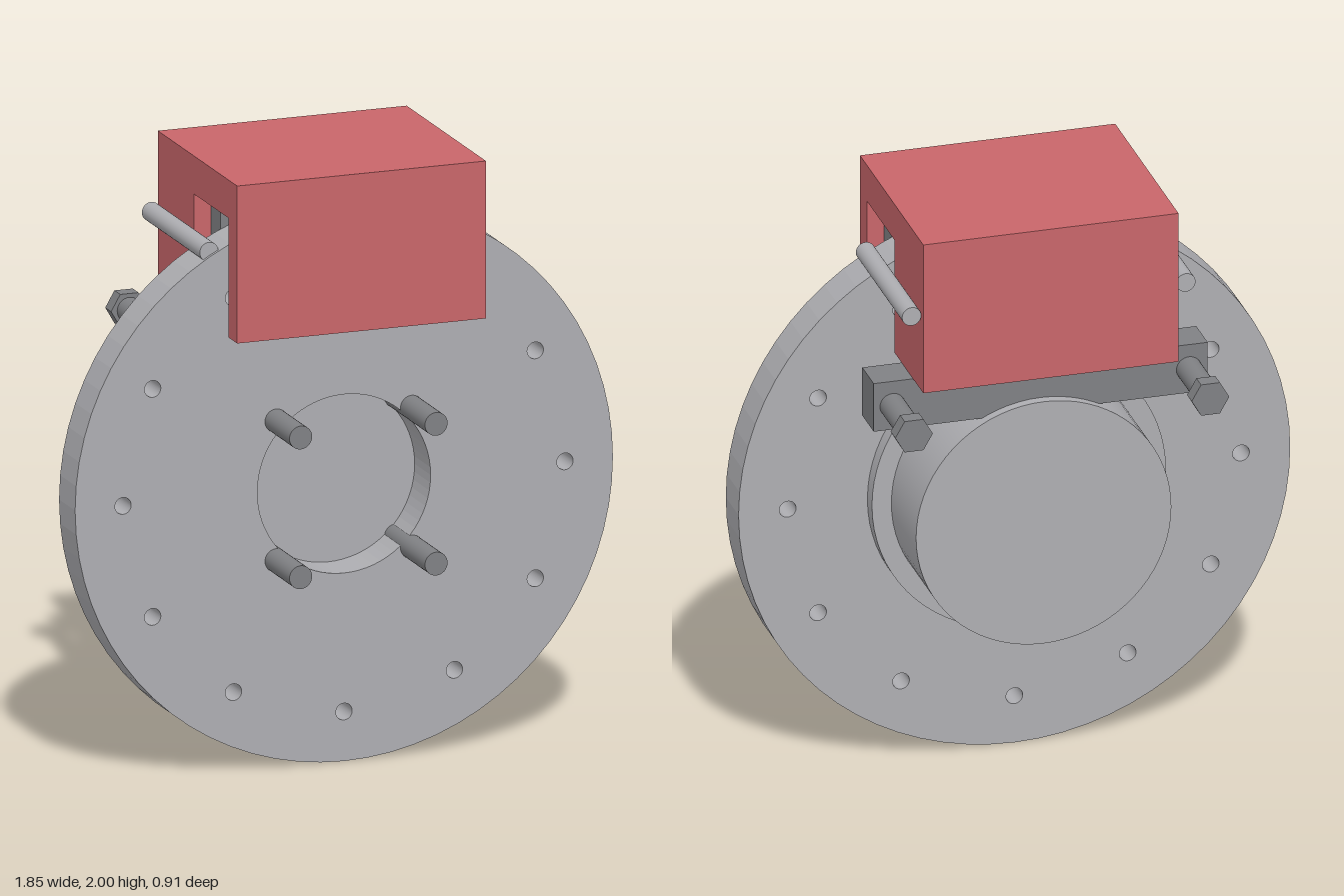
import * as THREE from 'three';

export function createModel() {
  const model = new THREE.Group();
  model.name = 'discBrake';

  const mat = (name, color) => {
    const m = new THREE.MeshStandardMaterial({ color });
    m.name = name;
    return m;
  };
  const steel = mat('steel', 0xaeaeb2);
  const darkSteel = mat('darkSteel', 0x808184);
  const red = mat('caliperRed', 0xc8666a);

  const add = (name, geometry, material, x = 0, y = 0, z = 0) => {
    const mesh = new THREE.Mesh(geometry, material);
    mesh.name = name;
    mesh.position.set(x, y, z);
    model.add(mesh);
    return mesh;
  };
  // Cylinder along z between two depths
  const rod = (name, r, z0, z1, material, x, y, sides = 32) => {
    const g = new THREE.CylinderGeometry(r, r, z1 - z0, sides).rotateX(Math.PI / 2);
    return add(name, g, material, x, y, (z0 + z1) / 2);
  };
  // Box given by its y and z ranges, centred on x
  const block = (name, halfX, y0, y1, z0, z1, material) =>
    add(name, new THREE.BoxGeometry(halfX * 2, y1 - y0, z1 - z0), material, 0, (y0 + y1) / 2, (z0 + z1) / 2);

  const cy = 0.925; // axle height
  const discBack = 0.088, discFront = 0.233;

  // Disc with central bore and a ring of twelve drilled holes
  const disc = new THREE.Shape().absarc(0, 0, 0.925, 0, Math.PI * 2, false);
  const drill = (x, y, r) => disc.holes.push(new THREE.Path().absarc(x, y, r, 0, Math.PI * 2, true));
  drill(0, 0, 0.298);
  for (let i = 0; i < 12; i++) {
    const a = (i * Math.PI) / 6;
    drill(0.76 * Math.cos(a), 0.76 * Math.sin(a), 0.028);
  }
  const discGeometry = new THREE.ExtrudeGeometry(disc, {
    depth: discFront - discBack, bevelEnabled: false, curveSegments: 36,
  });
  add('disc', discGeometry, steel, 0, cy, discBack);

  // Hub flange and drum behind the disc
  rod('hubFlange', 0.493, 0.036, discBack, steel, 0, cy, 72);
  rod('hubDrum', 0.428, -0.244, 0.036, steel, 0, cy, 72);

  // Four wheel studs
  for (const sx of [-1, 1]) {
    for (const sy of [-1, 1]) {
      rod('wheelStud', 0.039, 0.06, 0.455, darkSteel, sx * 0.233, cy + sy * 0.233);
    }
  }

  // Caliper: U-shaped section (drawn as -z, y) swept along x
  const section = new THREE.Shape([
    [-0.392, 1.475], [-0.313, 1.475], [-0.313, 1.873], [-0.002, 1.873],
    [-0.002, 1.475], [0.326, 1.475], [0.326, 2], [-0.392, 2],
  ].map(([a, b]) => new THREE.Vector2(a, b)));
  const caliper = new THREE.ExtrudeGeometry(section, { depth: 0.856, bevelEnabled: false });
  caliper.translate(0, 0, -0.428).rotateY(Math.PI / 2);
  add('caliper', caliper, red);

  // Brake pads either side of the disc
  block('outerPad', 0.37, 1.535, 1.84, discFront, 0.313, darkSteel);
  block('innerPad', 0.37, 1.535, 1.84, 0.002, discBack, darkSteel);

  // Mounting bracket under the caliper
  block('bracket', 0.56, 1.305, 1.475, -0.21, -0.08, darkSteel);

  // Guide pins and hex bolts on both sides
  for (const s of [-1, 1]) {
    rod('guidePin', 0.032, -0.302, 0.222, steel, s * 0.46, 1.74);
    rod('boltShank', 0.042, -0.405, -0.2, darkSteel, s * 0.497, 1.39);
    const head = new THREE.CylinderGeometry(0.063, 0.063, 0.053, 6).rotateY(Math.PI / 6).rotateX(Math.PI / 2);
    // Separate the sides so the hexagon stays sharp
    const sharpHead = head.toNonIndexed();
    sharpHead.computeVertexNormals();
    const bolt = add('boltHead', sharpHead, darkSteel, s * 0.497, 1.39, -0.428);
    bolt.updateMatrix();
  }

  return model;
}
